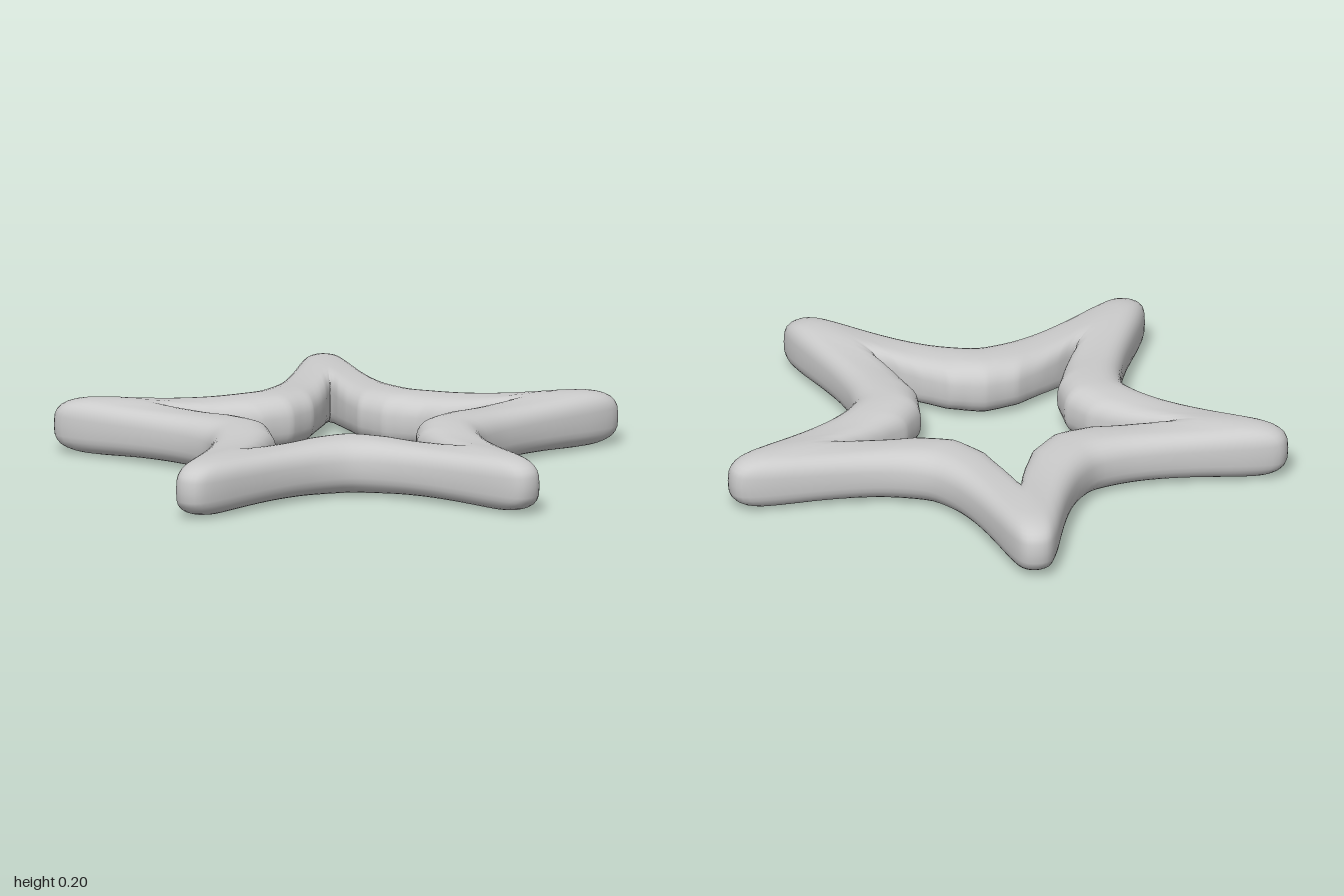
import * as THREE from 'three';

// Half of one star arm: [sideways, distance from centre], from tip to valley.
const OUTER = [[0, 1.05], [0.05, 1.03], [0.085, 0.95], [0.118, 0.83], [0.155, 0.70], [0.195, 0.59], [0.24, 0.5], [0.306, 0.421]];
const INNER = [[0, 0.59], [0.008, 0.56], [0.02, 0.5], [0.04, 0.428], [0.06, 0.37], [0.079, 0.313], [0.12, 0.265], [0.159, 0.218]];
const ARMS = 5, CENTRE_Z = 0.1, MID_Y = 0.1;

// Repeats and mirrors a half arm into a closed loop around the star.
function starLoop(half, tension) {
  const points = [];
  const place = (arm, u, v) => {
    const a = (arm * 2 * Math.PI) / ARMS;
    points.push(new THREE.Vector3(
      Math.sin(a) * v + Math.cos(a) * u, MID_Y,
      CENTRE_Z - Math.cos(a) * v + Math.sin(a) * u));
  };
  for (let arm = 0; arm < ARMS; arm++) {
    half.forEach(([u, v]) => place(arm, u, v));
    half.slice(1, -1).reverse().forEach(([u, v]) => place(arm + 1, -u, v));
  }
  return new THREE.CatmullRomCurve3(points, true, 'catmullrom', tension);
}

// Lofts a rounded cross-section between the outer and inner loops.
function starRingGeometry() {
  const outer = starLoop(OUTER, 0.5), inner = starLoop(INNER, 0);
  const perArm = (OUTER.length - 1) * 2 * 3, rings = perArm * ARMS, sides = 32;
  const positions = [], index = [];
  const power = (x, n) => Math.sign(x) * Math.pow(Math.abs(x), 2 / n);

  for (let i = 0; i < rings; i++) {
    const o = outer.getPoint(i / rings), n = inner.getPoint(i / rings);
    const phase = ((i % perArm) / perArm) * 2 * Math.PI;
    // Slightly thicker at tips and valleys, squarer at the tips.
    const halfHeight = 0.095 + 0.005 * Math.cos(2 * phase);
    const square = 2.9 + 0.3 * Math.cos(phase);
    for (let j = 0; j < sides; j++) {
      const phi = (j / sides) * 2 * Math.PI;
      const p = n.clone().lerp(o, 0.5 + 0.5 * power(Math.cos(phi), square));
      positions.push(p.x, MID_Y + halfHeight * power(Math.sin(phi), square), p.z);

      const i2 = (i + 1) % rings, j2 = (j + 1) % sides;
      const a = i * sides + j, b = i * sides + j2, c = i2 * sides + j2, d = i2 * sides + j;
      index.push(a, b, d, b, c, d);
    }
  }
  const geometry = new THREE.BufferGeometry();
  geometry.setAttribute('position', new THREE.Float32BufferAttribute(positions, 3));
  geometry.setIndex(index);
  geometry.computeVertexNormals();
  return geometry;
}

export function createModel() {
  const group = new THREE.Group();
  group.name = 'star';
  const ring = new THREE.Mesh(starRingGeometry(), new THREE.MeshStandardMaterial({ color: 0xcccccc }));
  ring.name = 'starRing';
  group.add(ring);
  return group;
}
